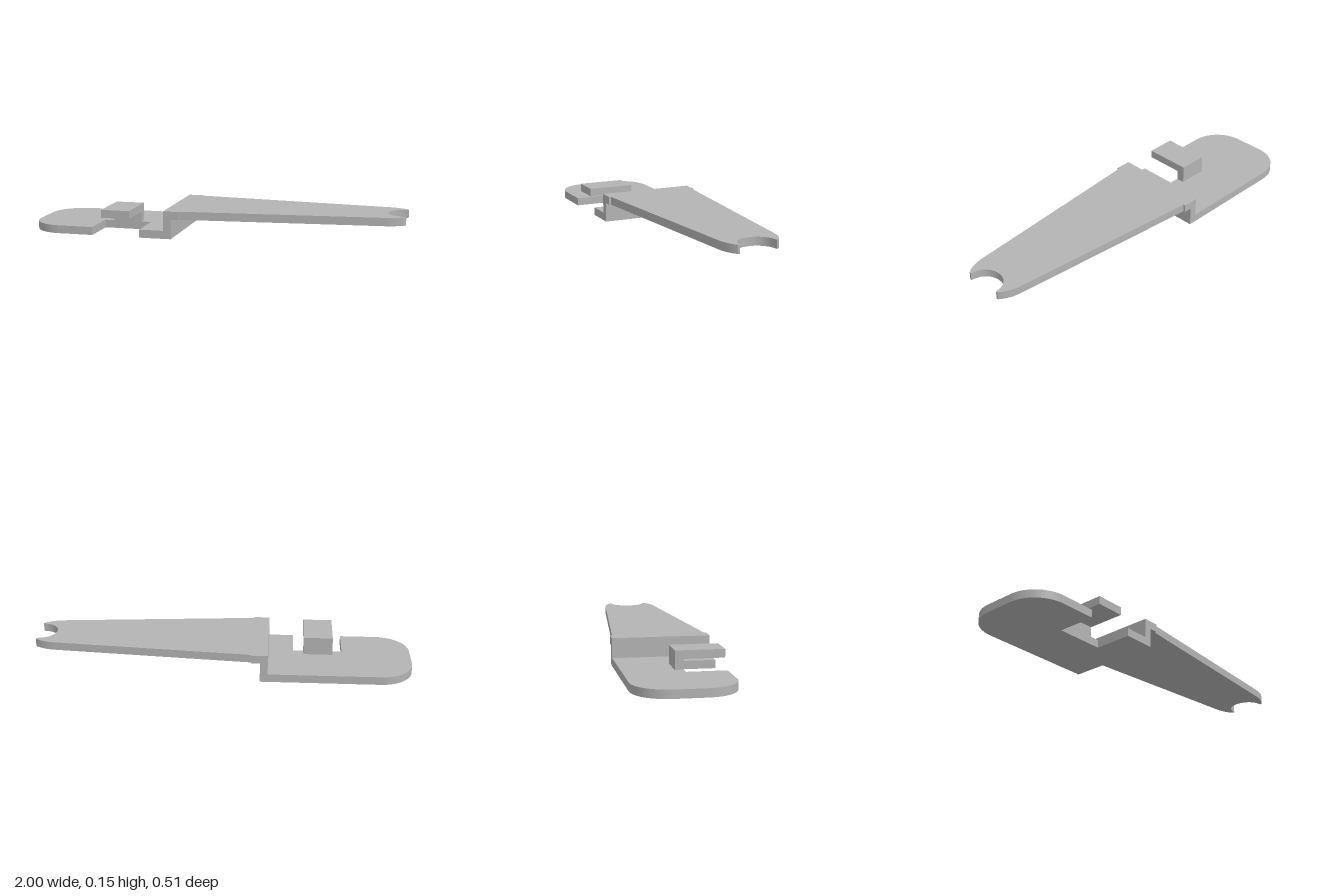
import * as THREE from 'three';
import { toCreasedNormals } from 'three/addons/utils/BufferGeometryUtils.js';

const W = 0.256;      // half width
const T = 0.043;      // plate thickness
const TOP = 0.147;    // height of the raised arm

export function createModel() {
  const group = new THREE.Group();
  const grey = new THREE.MeshStandardMaterial({ color: 0xb3b3b3 });
  grey.name = 'plain grey';

  const add = (name, geometry) => {
    const mesh = new THREE.Mesh(geometry, grey);
    mesh.name = name;
    group.add(mesh);
  };

  // Flat plate from an outline in x and z, with its upper face at topY
  const plate = (name, shape, topY) => {
    const g = new THREE.ExtrudeGeometry(shape, { depth: T, bevelEnabled: false, curveSegments: 10 });
    g.rotateX(Math.PI / 2).translate(0, topY, 0);
    add(name, toCreasedNormals(g, 0.6));
  };

  // Box given by its limits
  const block = (name, x0, x1, y0, y1, z0, z1) => {
    const g = new THREE.BoxGeometry(x1 - x0, y1 - y0, z1 - z0);
    g.translate((x0 + x1) / 2, (y0 + y1) / 2, (z0 + z1) / 2);
    add(name, g);
  };

  // Lower plate with rounded end and a slot open to the front
  const base = new THREE.Shape();
  const r = 0.175;
  base.moveTo(-0.24, -W);
  base.lineTo(-0.24, W);
  base.lineTo(-0.373, W);
  base.lineTo(-0.373, 0.05);
  base.lineTo(-0.635, 0.05);
  base.lineTo(-0.635, W);
  base.lineTo(-1 + r, W);
  base.absarc(-1 + r, W - r, r, Math.PI / 2, Math.PI, false);
  base.absarc(-1 + r, -W + r, r, Math.PI, Math.PI * 1.5, false);
  plate('basePlate', base, T);

  // Upright step joining the two levels
  block('step', -0.24, -0.2, 0, TOP, -W, W);

  // Hook over the slot: stem and overhanging tab
  block('hookStem', -0.583, -0.427, T, 0.096, 0.005, 0.05);
  block('hookTab', -0.583, -0.427, 0.096, 0.139, 0.005, W);

  // Tapered arm with a rounded notch between two prongs
  const arm = new THREE.Shape();
  arm.moveTo(-0.2, -W);
  arm.lineTo(-0.155, -W);
  arm.lineTo(-0.155, -0.245);
  arm.lineTo(0.89, -0.149);
  arm.quadraticCurveTo(0.955, -0.142, 0.998, -0.107);
  arm.lineTo(0.999, -0.097);
  arm.bezierCurveTo(0.93, -0.092, 0.903, -0.045, 0.903, 0);
  arm.bezierCurveTo(0.903, 0.045, 0.93, 0.092, 0.999, 0.097);
  arm.lineTo(0.998, 0.107);
  arm.quadraticCurveTo(0.955, 0.142, 0.89, 0.149);
  arm.lineTo(-0.155, 0.245);
  arm.lineTo(-0.155, W);
  arm.lineTo(-0.2, W);
  plate('taperedArm', arm, TOP);

  return group;
}
